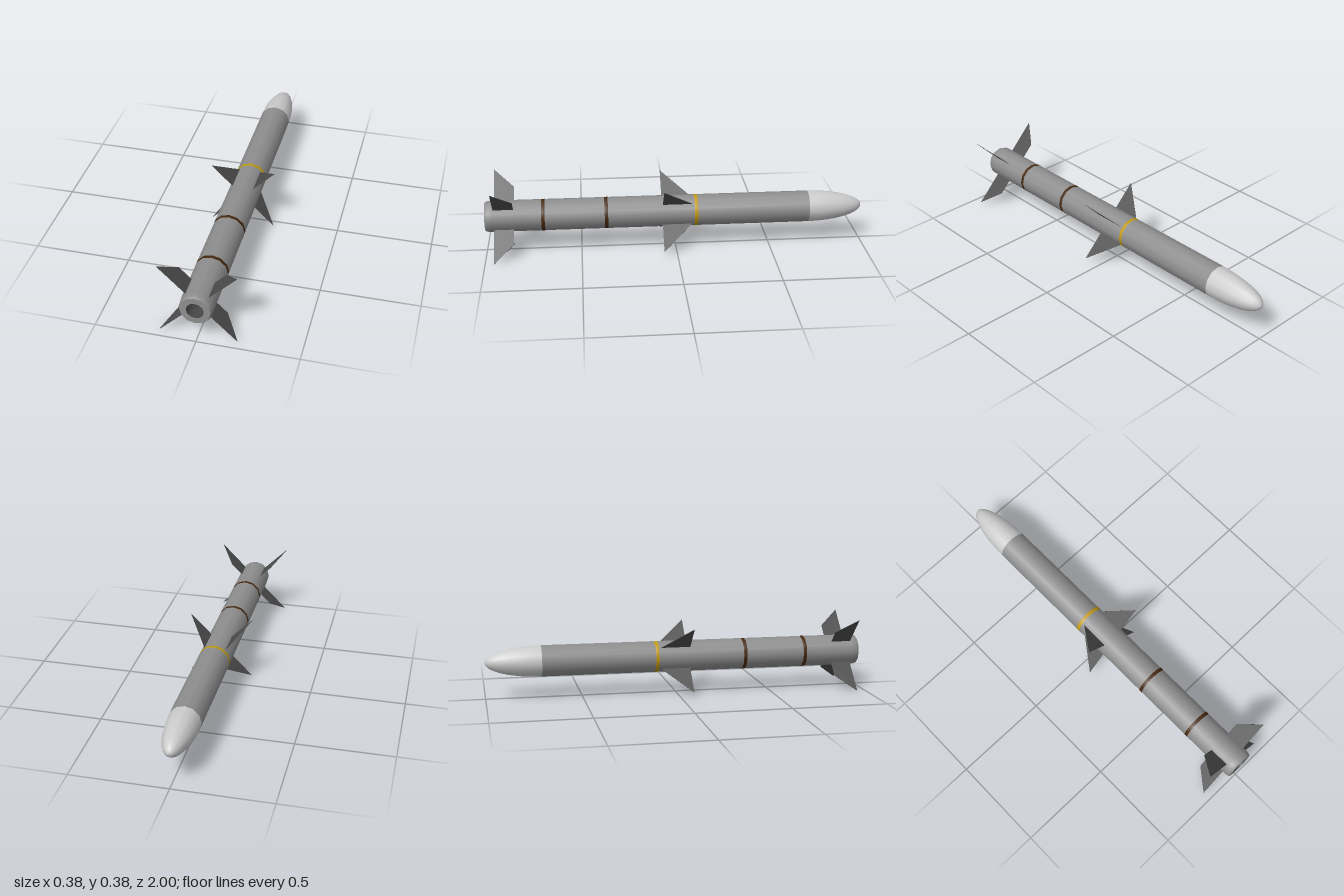
import * as THREE from 'three';

const AXIS_Y = 0.193, R = 0.083, SIDES = 12;

const paint = (color, side = THREE.FrontSide) => new THREE.MeshStandardMaterial({ color, side });
const shellGrey = paint(0x8e8e8e);
const noseGrey = paint(0xcccccc);
const finGrey = paint(0x4c4c4c);
const nozzleGrey = paint(0x484848);
const yellow = paint(0xc09a10);
const brown = paint(0x46280e);

// Surface of revolution about the long axis; profile is [radius, z] pairs
function turned(name, profile, material) {
  const points = profile.map(([r, z]) => new THREE.Vector2(r, z));
  const geometry = new THREE.LatheGeometry(points, SIDES).rotateX(Math.PI / 2);
  const mesh = new THREE.Mesh(geometry, material);
  mesh.name = name;
  return mesh;
}

// Four thin fins in an X; outline is [distance from axis, z] pairs
function finSet(name, outline, thickness) {
  const set = new THREE.Group();
  set.name = name + 's';
  const shape = new THREE.Shape(outline.map(([r, z]) => new THREE.Vector2(r, z)));
  const geometry = new THREE.ExtrudeGeometry(shape, { depth: thickness, bevelEnabled: false })
    .translate(0, 0, -thickness / 2)
    .rotateX(Math.PI / 2);
  for (let i = 0; i < 4; i++) {
    const fin = new THREE.Mesh(geometry, finGrey);
    fin.name = name;
    fin.rotation.z = Math.PI / 4 + i * Math.PI / 2;
    set.add(fin);
  }
  return set;
}

export function createModel() {
  const model = new THREE.Group();
  model.name = 'missile';
  const body = new THREE.Group();
  body.name = 'airframe';
  body.position.y = AXIS_Y;
  model.add(body);

  // Rounded nose, a quarter ellipse in profile
  const nose = [];
  for (let i = 0; i <= 12; i++) {
    const a = (i / 12) * Math.PI / 2;
    nose.push([R * Math.sin(a), -0.71 - 0.29 * Math.cos(a)]);
  }
  body.add(turned('noseCone', nose, noseGrey));

  // Main tube, rounded tail edge and flat tail ring
  body.add(turned('tube', [[R, -0.71], [R, 0.965]], shellGrey));
  body.add(turned('tailEdge', [[R, 0.965], [0.082, 0.982], [0.079, 0.994], [0.075, 1]], shellGrey));
  body.add(turned('tailRing', [[0.075, 1], [0.043, 1]], shellGrey));

  // Recessed exhaust
  body.add(turned('nozzleWall', [[0.043, 1], [0.043, 0.92]], nozzleGrey));
  body.add(turned('nozzleFloor', [[0.043, 0.92], [0, 0.92]], nozzleGrey));

  // Painted marking bands
  const bands = [['warheadBand', -0.107, yellow], ['motorBandFront', 0.367, brown], ['motorBandRear', 0.697, brown]];
  for (const [name, z, material] of bands) {
    const r = R + 0.0007, h = 0.009;
    body.add(turned(name, [[R - 0.001, z - h], [r, z - h], [r, z + h], [R - 0.001, z + h]], material));
  }

  // Triangular mid wings and swept tail fins
  body.add(finSet('midWing', [[0.07, -0.095], [0.235, 0.07], [0.07, 0.07]], 0.002));
  body.add(finSet('tailFin', [[0.07, 0.85], [0.165, 0.85], [0.27, 0.955], [0.07, 0.955]], 0.002));

  return model;
}
